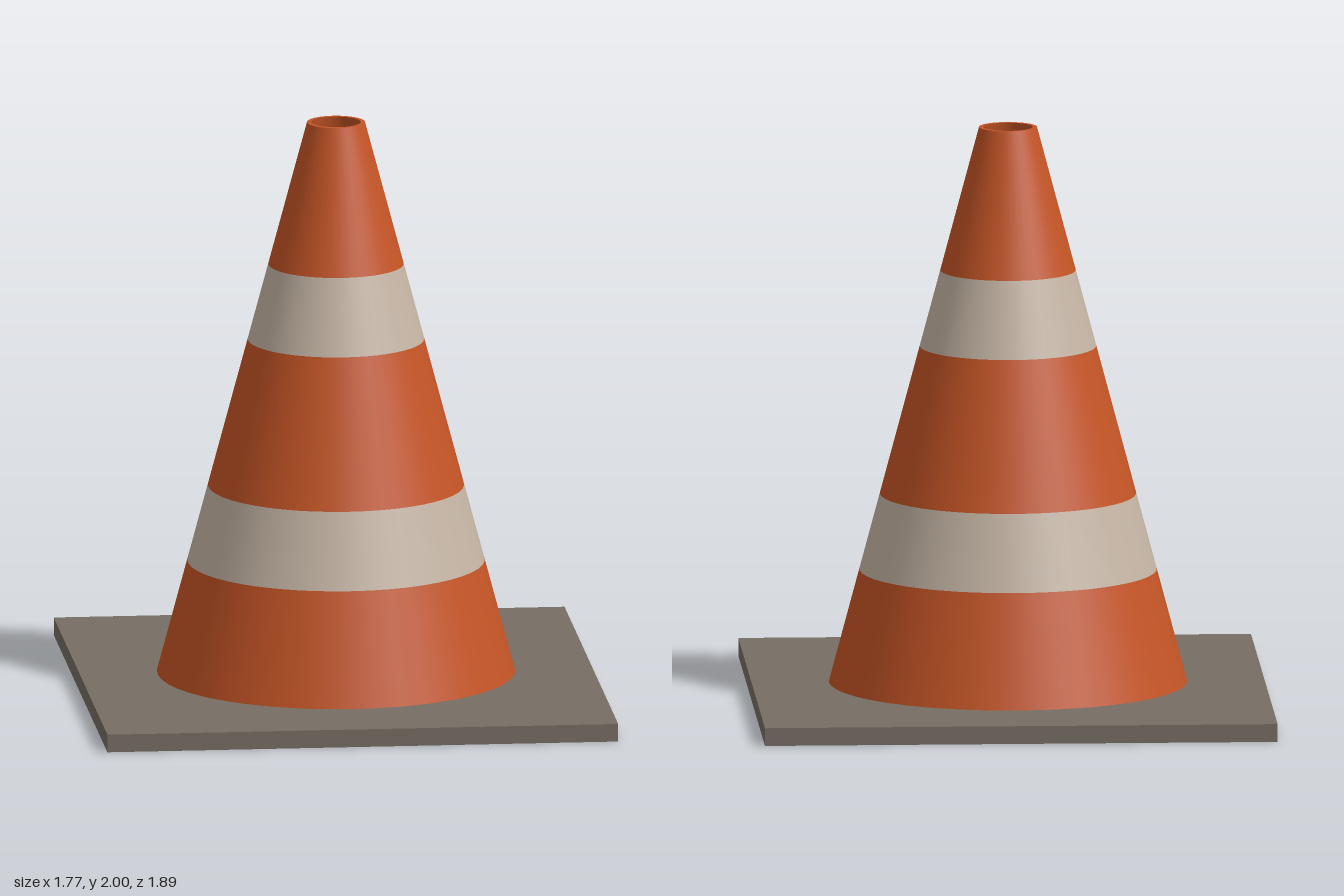
import * as THREE from 'three';

const SEGMENTS = 48;
const BASE_TOP = 0.062;

const orange = new THREE.MeshStandardMaterial({ color: 0xc65526 });
const white = new THREE.MeshStandardMaterial({ color: 0xc6b6a6 });
const grey = new THREE.MeshStandardMaterial({ color: 0x776e63 });
orange.name = 'orange plastic';
white.name = 'off-white band';
grey.name = 'grey rubber';

// Cone wall radii at a given height
const outerRadius = (y) => THREE.MathUtils.mapLinear(y, BASE_TOP, 2, 0.618, 0.1);
const innerRadius = (y) => THREE.MathUtils.mapLinear(y, 0, 2, 0.575, 0.085);

function add(parent, name, geometry, material) {
  const mesh = new THREE.Mesh(geometry, material);
  mesh.name = name;
  parent.add(mesh);
}

// Surface of revolution through [radius, height] points
const lathe = (...points) =>
  new THREE.LatheGeometry(points.map(([r, y]) => new THREE.Vector2(r, y)), SEGMENTS);

export function createModel() {
  const model = new THREE.Group();
  model.name = 'trafficCone';

  // Flat rectangular base with a round opening
  const w = 0.885, d = 0.945;
  const plate = new THREE.Shape([
    new THREE.Vector2(-w, -d), new THREE.Vector2(w, -d),
    new THREE.Vector2(w, d), new THREE.Vector2(-w, d),
  ]);
  plate.holes.push(new THREE.Path().absarc(0, 0, 0.578, 0, Math.PI * 2, true));
  const base = new THREE.ExtrudeGeometry(plate, {
    depth: BASE_TOP, bevelEnabled: false, curveSegments: SEGMENTS,
  });
  base.rotateX(-Math.PI / 2);
  add(model, 'base', base, grey);

  // Hollow cone in alternating bands, with an outer and an inner wall
  const cone = new THREE.Group();
  cone.name = 'cone';
  model.add(cone);
  const heights = [0, 0.455, 0.72, 1.235, 1.5, 2];
  for (let i = 0; i < heights.length - 1; i++) {
    const low = heights[i], high = heights[i + 1];
    const outerLow = Math.max(low, BASE_TOP);
    const material = i % 2 ? white : orange;
    add(cone, `outerBand${i + 1}`,
      lathe([outerRadius(outerLow), outerLow], [outerRadius(high), high]), material);
    add(cone, `innerBand${i + 1}`,
      lathe([innerRadius(high), high], [innerRadius(low), low]), material);
  }

  // Rim closing the wall around the top opening
  add(cone, 'topRim', lathe([outerRadius(2), 2], [innerRadius(2), 2]), orange);

  return model;
}
